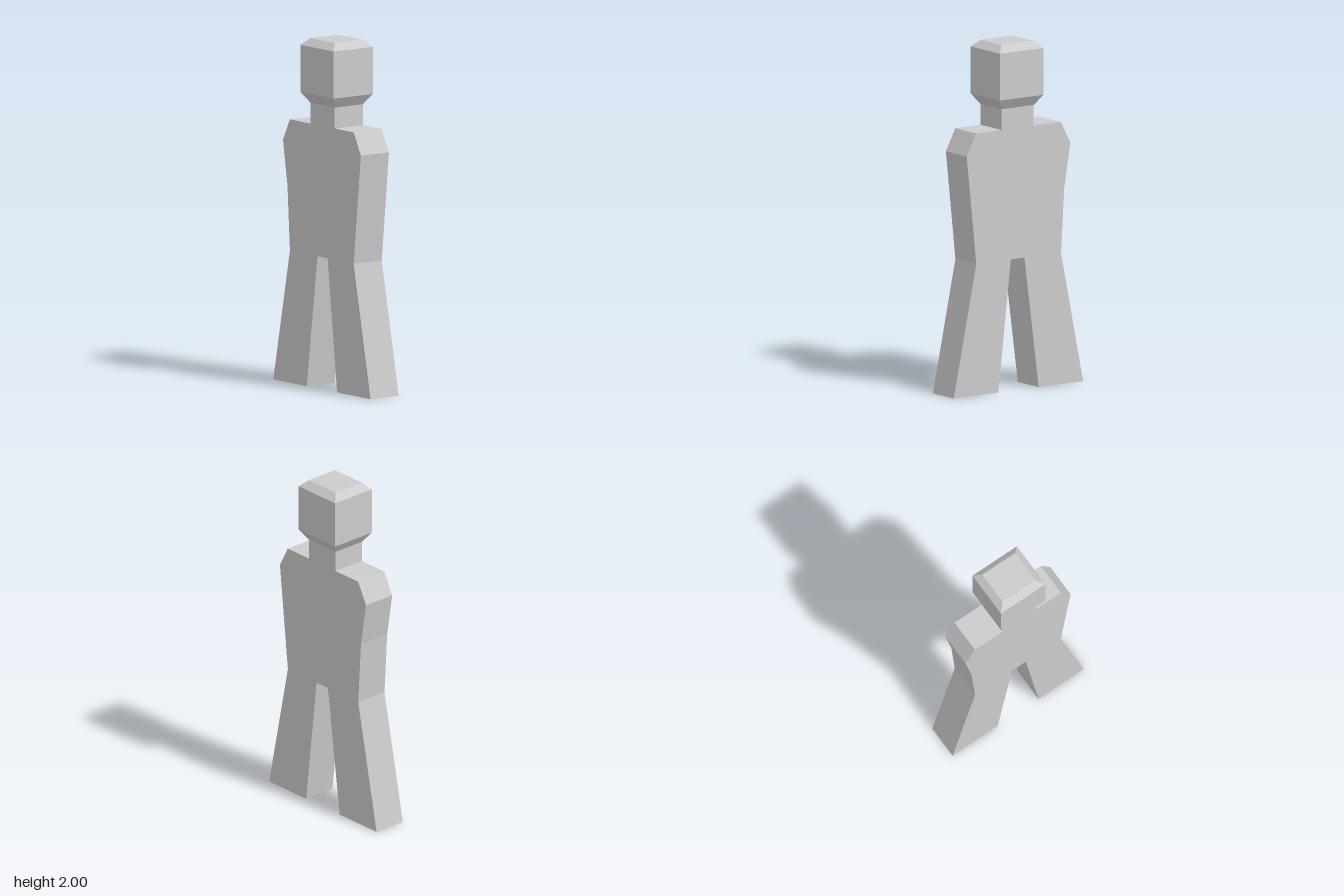
import * as THREE from 'three';

const material = new THREE.MeshStandardMaterial({ color: 0xcccccc, flatShading: true });

// Flat figure cut from one outline: legs, torso, shoulders and neck
function makeBody() {
  const outline = [
    [-0.455, 0], [-0.143, 0], [-0.043, 0.757], [0.052, 0.757], [0.14, 0], [0.453, 0],
    [0.295, 0.757], [0.362, 1.385], [0.296, 1.51],
    [0.118, 1.51], [0.118, 1.63], [-0.108, 1.63], [-0.108, 1.51],
    [-0.3, 1.51], [-0.365, 1.385], [-0.323, 1.13], [-0.3, 0.757],
  ].map(([x, y]) => new THREE.Vector2(x, y));
  const geometry = new THREE.ExtrudeGeometry(new THREE.Shape(outline), { depth: 0.2, bevelEnabled: false });
  geometry.translate(0, 0, -0.1);
  const body = new THREE.Mesh(geometry, material);
  body.name = 'body';
  return body;
}

// Box head whose top and bottom rings are drawn in to form chamfers
function makeHead() {
  const levels = [1.63, 1.69, 1.96, 2.0];
  const geometry = new THREE.BoxGeometry(1, 3, 1, 1, 3, 1);
  const pos = geometry.attributes.position;
  for (let i = 0; i < pos.count; i++) {
    const ring = Math.round(pos.getY(i) + 1.5);
    const narrow = ring === 0 || ring === 3;
    const width = narrow ? 0.226 : 0.308;
    const depth = narrow ? 0.2 : 0.28;
    pos.setXYZ(i, pos.getX(i) * width + 0.005, levels[ring], pos.getZ(i) * depth);
  }
  geometry.computeVertexNormals();
  const head = new THREE.Mesh(geometry, material);
  head.name = 'head';
  return head;
}

export function createModel() {
  const model = new THREE.Group();
  model.name = 'figure';
  model.add(makeBody(), makeHead());
  return model;
}
